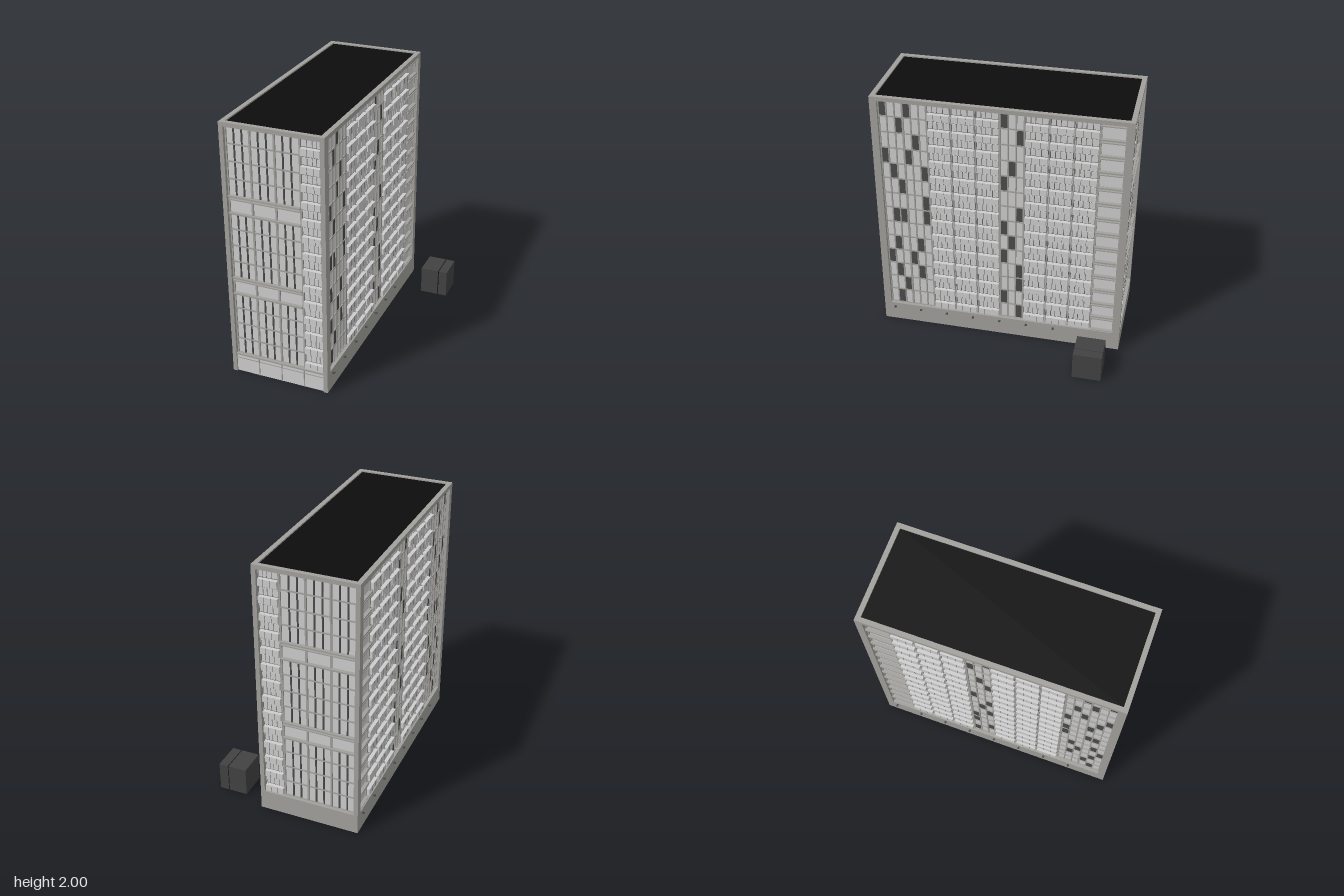
import * as THREE from 'three';
import { mergeGeometries } from 'three/addons/utils/BufferGeometryUtils.js';

const mat = (name, color) => Object.assign(new THREE.MeshStandardMaterial({ color }), { name });
const M = {
  panel: mat('light panel', 0xcdcdcd),
  concrete: mat('concrete', 0xa1a09c),
  glass: mat('dark window', 0x4b4b4b),
  frame: mat('window frame', 0x666664),
  roof: mat('black roof', 0x0d0d0d),
  cabin: mat('charcoal', 0x424242),
};

// Building block: centre x, half sizes and storeys
const CX = -0.185, HX = 0.385, HZ = 0.955;
const Y0 = 0.155, Y1 = 1.97, FLOORS = 14, FH = (Y1 - Y0) / FLOORS, BAY = 0.18;

// Dark windows per storey from the top: six-column block, then three-column block
const DARK = [
  [[0, 3], [0]], [[2], [2]], [[4], []], [[0, 3], [1]], [[1, 5], [0]], [[2], []], [[5], [2]],
  [[1, 2, 5], [0]], [[], [1]], [[1, 4], [0]], [[0, 3], [2]], [[1, 4], [2]], [[2], [0]], [[1], [2]],
];

export function createModel() {
  const model = new THREE.Group();
  model.name = 'apartmentTower';
  const parts = new Map();

  // Collect boxes by part name; each part becomes one mesh
  function box(name, material, x0, x1, y0, y1, z0, z1) {
    const g = new THREE.BoxGeometry(Math.abs(x1 - x0), y1 - y0, Math.abs(z1 - z0));
    g.translate((x0 + x1) / 2, (y0 + y1) / 2, (z0 + z1) / 2);
    if (!parts.has(name)) parts.set(name, { material, list: [] });
    parts.get(name).list.push(g);
  }

  // A facade writer: u along the wall, y up, w outward from the outer plane
  const sideWall = (s, label) => (name, m, u0, u1, y0, y1, w0, w1) =>
    box(label + name, m, CX + s * (HX + w0), CX + s * (HX + w1), y0, y1, u0, u1);
  const endWall = (s, label) => (name, m, u0, u1, y0, y1, w0, w1) =>
    box(label + name, m, u0, u1, y0, y1, s * (HZ + w0), s * (HZ + w1));

  // Window row above a projecting balcony parapet
  function balcony(put, u0, u1, y) {
    const w = u1 - u0, at = (t) => u0 + w * t, mid = y + FH * 0.48;
    put('BalconyWindowFrames', M.frame, at(0.03), at(0.97), mid, y + FH - 0.004, -0.036, -0.031);
    for (const [a, b] of [[0.06, 0.3], [0.33, 0.55], [0.58, 0.74], [0.77, 0.94]])
      put('BalconyWindowPanes', M.panel, at(a), at(b), mid + 0.005, y + FH - 0.009, -0.032, -0.028);
    put('BalconyParapets', M.panel, at(0.05), at(0.95), y + 0.008, mid - 0.004, -0.036, -0.006);
    for (const t of [0.35, 0.68])
      put('ParapetJoints', M.frame, at(t) - 0.0015, at(t) + 0.0015, y + 0.008, mid - 0.004, -0.01, -0.005);
  }

  // Open storey with slab and rail
  function gallery(put, u0, u1, y) {
    put('GallerySlabs', M.concrete, u0, u1, y - 0.006, y + 0.006, -0.045, -0.008);
    put('GallerySlabs', M.concrete, u0, u1, y + FH - 0.006, y + FH + 0.006, -0.045, -0.008);
    put('GalleryRails', M.concrete, u0, u1, y + FH - 0.027, y + FH - 0.019, -0.036, -0.012);
  }

  // Wall skin with floor bands
  function skin(put, u0, u1) {
    put('WallPanels', M.panel, u0, u1, Y0, Y1, -0.045, -0.035);
    for (let i = 0; i <= FLOORS; i++) {
      const y = Y0 + i * FH;
      put('FloorBands', M.concrete, u0, u1, y - 0.005, y + 0.005, -0.05, -0.026);
    }
  }
  const post = (put, u, w = 0.012) => put('Mullions', M.concrete, u - w / 2, u + w / 2, Y0, Y1, -0.05, -0.024);

  // Long sides: ten bays from front to back
  for (const [s, label] of [[1, 'left'], [-1, 'right']]) {
    const put = sideWall(s, label);
    skin(put, -0.905, 0.905);
    for (let b = 0; b <= 10; b++) post(put, 0.9 - b * BAY, [0, 1, 2, 5, 6, 9, 10].includes(b) ? 0.014 : 0.006);
    // Narrow window columns
    const columns = (start, n) => Array.from({ length: n }, (_, k) => start - (k + 0.5) * BAY / 3);
    const blocks = [columns(0.9, 6), columns(0, 3)];
    for (const start of [0.9, 0.72, 0])
      for (const k of [1, 2]) post(put, start - k * BAY / 3, 0.009);
    for (let i = 0; i < FLOORS; i++) {
      const y = Y1 - (i + 1) * FH;
      DARK[i].forEach((cols, j) => cols.forEach((c) => {
        const u = blocks[j][c];
        put('DarkWindows', M.glass, u - 0.024, u + 0.024, y + 0.005, y + FH - 0.005, -0.049, -0.03);
      }));
      for (const b of [2, 3, 4, 6, 7, 8]) balcony(put, 0.9 - (b + 1) * BAY, 0.9 - b * BAY, y);
      gallery(put, -0.9, -0.72, y);
    }
    // Solid plinth with small lamps
    put('Plinth', M.concrete, -HZ, HZ, 0, Y0, -0.03, 0);
    const lamps = s > 0 ? 7 : 8;
    for (let k = 0; k < lamps; k++) {
      const u = s > 0 ? 0.865 - k * 0.216 : -0.865 + k * 0.216;
      put('Lamps', M.glass, u - 0.008, u + 0.008, 0.119, 0.127, 0, 0.018);
    }
  }

  // Short ends: three glazed bays and one balcony bay
  for (const [s, label] of [[1, 'front'], [-1, 'back']]) {
    const put = endWall(s, label), left = -0.535, right = 0.168;
    skin(put, left - 0.005, right + 0.005);
    for (const b of [0, 1, 2, 3]) post(put, left + b * BAY + (b === 3 ? 0.006 : 0), 0.014);
    for (let i = 0; i < FLOORS; i++) {
      const y = Y1 - (i + 1) * FH;
      balcony(put, 0.013, right, y);
      if (i === 4 || i === 9) { gallery(put, left, 0.008, y); continue; }
      for (let b = 0; b < 3; b++)
        for (const k of [1, 2]) {
          const u = left + (b + k / 3) * BAY;
          put('DarkStrips', M.glass, u - 0.006, u + 0.006, y + 0.005, y + FH - 0.005, -0.048, -0.03);
        }
    }
  }

  // Glazed entrance storey at the front, solid plinth at the back
  const front = endWall(1, 'front'), back = endWall(-1, 'back');
  front('EntrancePanels', M.panel, -0.54, 0.19, 0, 0.15, -0.03, -0.012);
  front('EntranceBeams', M.concrete, -0.54, 0.19, 0.145, 0.158, -0.03, -0.004);
  front('EntranceBeams', M.concrete, -0.54, 0.19, 0.115, 0.121, -0.03, -0.009);
  for (const u of [-0.355, -0.17, 0.01])
    front('EntranceMullions', M.concrete, u - 0.004, u + 0.004, 0, 0.15, -0.032, -0.008);
  back('Plinth', M.concrete, CX - HX, CX + HX, 0, Y0, -0.03, 0);

  // Corner columns, roof edge and roof
  for (const sx of [1, -1])
    for (const sz of [1, -1])
      box('cornerColumns', M.concrete, CX + sx * (HX - 0.033), CX + sx * HX, 0, 1.97, sz * (HZ - 0.055), sz * HZ);
  for (const s of [1, -1]) {
    box('roofEdge', M.concrete, CX + s * (HX - 0.036), CX + s * HX, 1.968, 2, -HZ, HZ);
    box('roofEdge', M.concrete, CX - HX, CX + HX, 1.968, 2, s * (HZ - 0.036), s * HZ);
  }
  box('roof', M.roof, CX - HX + 0.03, CX + HX - 0.03, 1.972, 1.99, -HZ + 0.03, HZ - 0.03);

  // Detached cabin, split by a groove
  box('cabinBody', M.cabin, 0.37, 0.513, 0, 0.22, -0.87, -0.65);
  box('cabinEnd', M.cabin, 0.521, 0.59, 0, 0.22, -0.87, -0.65);
  box('cabinGroove', M.roof, 0.51, 0.524, 0.006, 0.212, -0.862, -0.658);

  for (const [name, { material, list }] of parts) {
    const mesh = new THREE.Mesh(mergeGeometries(list), material);
    mesh.name = name;
    model.add(mesh);
  }
  return model;
}
